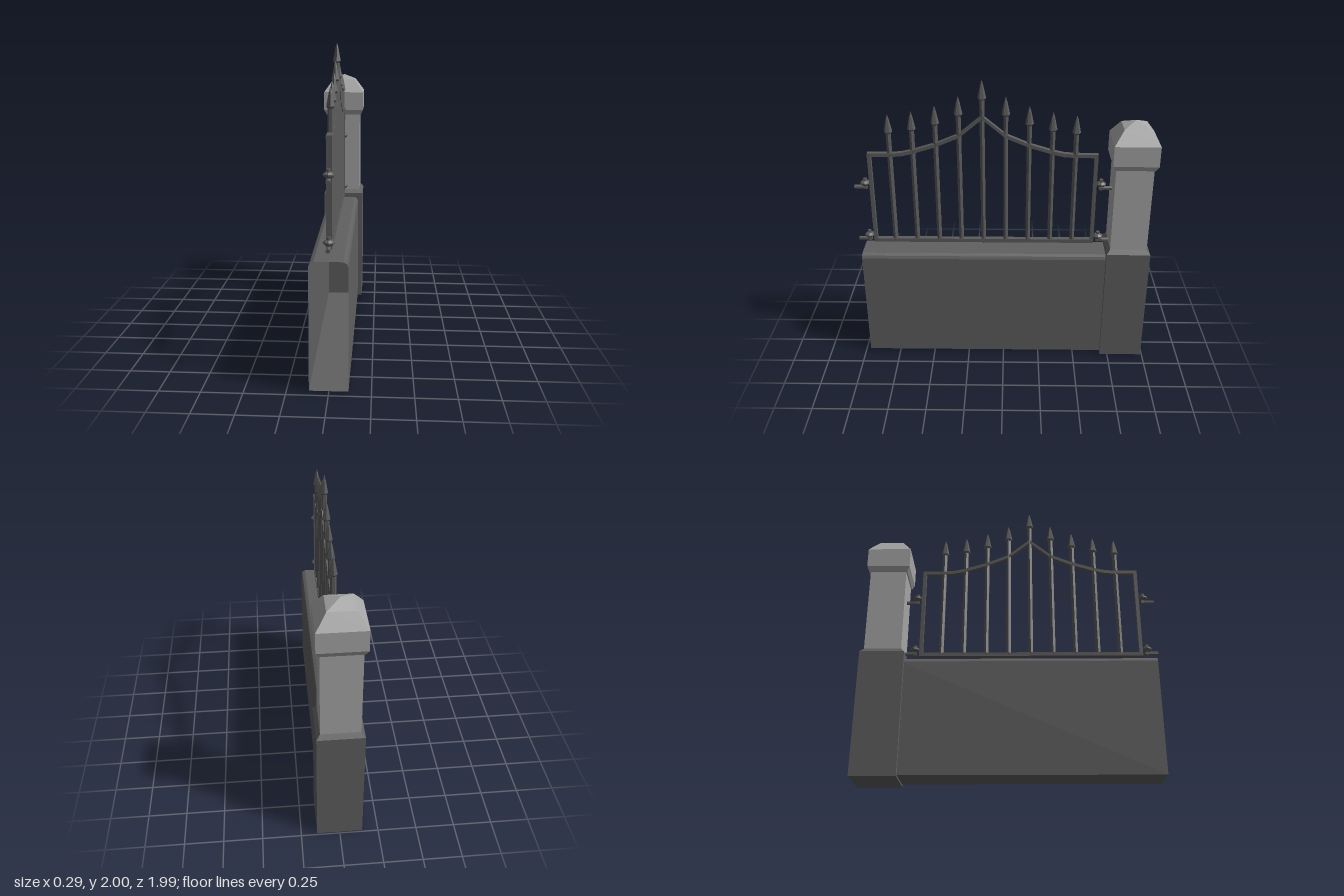
import * as THREE from 'three';

const stone = new THREE.MeshStandardMaterial({ color: 0xa8a8a8 });
stone.name = 'light stone';
const plinth = new THREE.MeshStandardMaterial({ color: 0x606060, side: THREE.DoubleSide });
plinth.name = 'dark stone';
const iron = new THREE.MeshStandardMaterial({ color: 0x5c5c5c });
iron.name = 'wrought iron';

const PILLAR_Z = -0.843;
const GATE_Z = 0.138;

// Faceted shading
function facet(geometry) {
  const g = geometry.index ? geometry.toNonIndexed() : geometry;
  g.computeVertexNormals();
  return g;
}

function add(parent, name, geometry, material, x = 0, y = 0, z = 0) {
  const mesh = new THREE.Mesh(facet(geometry), material);
  mesh.name = name;
  mesh.position.set(x, y, z);
  parent.add(mesh);
  return mesh;
}

// Turned profile of [radius, height] pairs, from the bottom up
function turned(profile, sides, start = 0) {
  return new THREE.LatheGeometry(profile.map(([r, y]) => new THREE.Vector2(r, y)), sides, start);
}

// Square pillar section, from [half width, height] pairs
function square(profile) {
  return turned(profile.map(([h, y]) => [h * Math.SQRT2, y]), 4, Math.PI / 4);
}

// Closed outline swept along z, open at both ends
function openSweep(outline, z0, z1) {
  const pos = [];
  outline.forEach(([ax, ay], i) => {
    const [bx, by] = outline[(i + 1) % outline.length];
    pos.push(ax, ay, z0, bx, by, z0, bx, by, z1, ax, ay, z0, bx, by, z1, ax, ay, z1);
  });
  const g = new THREE.BufferGeometry();
  g.setAttribute('position', new THREE.Float32BufferAttribute(pos, 3));
  // outline runs clockwise seen from the front, so turn the faces outward
  const index = [];
  for (let i = 0; i < pos.length / 3; i += 3) index.push(i, i + 1, i + 2);
  g.setIndex(index);
  return g;
}

function createPillar() {
  const pillar = new THREE.Group();
  pillar.name = 'pillar';
  pillar.position.z = PILLAR_Z;
  add(pillar, 'pillarBase', square([[0, 0], [0.147, 0], [0.147, 0.83], [0.122, 0.86], [0, 0.86]]), plinth);
  add(pillar, 'pillarShaft', square([[0.123, 0.855], [0.123, 1.45]]), stone);
  add(pillar, 'pillarCap', square([[0, 1.44], [0.13, 1.44], [0.147, 1.475], [0.147, 1.61],
    [0.083, 1.7], [0, 1.738]]), stone);
  return pillar;
}

// Hinge at one end of the gate; dir points away from the gate
function createHinge(y, z, dir) {
  const hinge = new THREE.Group();
  hinge.name = 'hinge';
  hinge.position.set(0, y, z);
  add(hinge, 'hingePin', new THREE.CylinderGeometry(0.013, 0.013, 0.075, 6), iron, 0, -0.005, 0);
  add(hinge, 'hingeCollar', turned([[0, -0.018], [0.02, -0.018], [0.034, -0.004], [0.034, 0.004],
    [0.02, 0.016], [0, 0.016]], 8), iron);
  const arm = add(hinge, 'hingeArm', new THREE.CylinderGeometry(0.014, 0.014, 0.088, 6), iron, 0, -0.03, dir * 0.03);
  arm.rotation.x = Math.PI / 2;
  return hinge;
}

function createGate() {
  const gate = new THREE.Group();
  gate.name = 'gate';
  gate.position.z = GATE_Z;

  // Frame sides and bottom rail
  for (const s of [-1, 1]) {
    add(gate, 'framePost', new THREE.BoxGeometry(0.034, 0.65, 0.024), iron, 0, 1.175, s * 0.742);
  }
  add(gate, 'bottomRail', new THREE.BoxGeometry(0.034, 0.026, 1.5), iron, 0, 0.863, 0);

  // Curved top rail, mirrored about the middle; its strip tops are 0.022 high
  const half = [[0.754, 1.492], [0.606, 1.492], [0.53, 1.498], [0.455, 1.515], [0.303, 1.562],
    [0.151, 1.626], [0, 1.752]];
  const line = half.concat(half.slice(0, -1).reverse().map(([d, y]) => [-d, y]));
  const shape = new THREE.Shape();
  line.forEach(([d, y], i) => (i ? shape.lineTo(d, y + 0.012) : shape.moveTo(d, y + 0.012)));
  [...line].reverse().forEach(([d, y]) => shape.lineTo(d, y - 0.012));
  const rail = new THREE.ExtrudeGeometry(shape, { depth: 0.034, bevelEnabled: false });
  rail.translate(0, 0, -0.017);
  rail.rotateY(Math.PI / 2);
  add(gate, 'topRail', rail, iron);

  // Upright bars with spear heads
  const tips = [1.995, 1.889, 1.827, 1.788, 1.768];
  for (let i = -4; i <= 4; i++) {
    const tip = tips[Math.abs(i)];
    const bottom = 0.86;
    const top = tip - 0.12;
    const z = i * 0.1513;
    add(gate, 'bar', new THREE.CylinderGeometry(0.018, 0.018, top - bottom, 6, 1, true, Math.PI / 6),
      iron, 0, (top + bottom) / 2, z).rotation.y = Math.PI / 3;
    add(gate, 'spearHead', turned([[0, -0.13], [0.018, -0.13], [0.028, -0.118], [0.012, -0.04], [0, 0]], 6),
      iron, 0, tip, z);
  }
  // Small point under the middle bar
  add(gate, 'bottomPoint', turned([[0, 0.836], [0.018, 0.852]], 6), iron);

  // Hinges, two at each end
  for (const y of [0.9, 1.29]) {
    for (const s of [-1, 1]) gate.add(createHinge(y, s * 0.783, s));
  }
  return gate;
}

export function createModel() {
  const model = new THREE.Group();
  model.name = 'fenceSection';

  // Hollow low wall with softened top edges
  const side = [[0.116, 0.012], [0.114, 0.77], [0.106, 0.789], [0.085, 0.8]];
  const outline = side.concat([...side].reverse().map(([x, y]) => [-x, y]));
  add(model, 'wall', openSweep(outline, -0.72, 0.967), plinth);

  model.add(createPillar(), createGate());
  return model;
}
